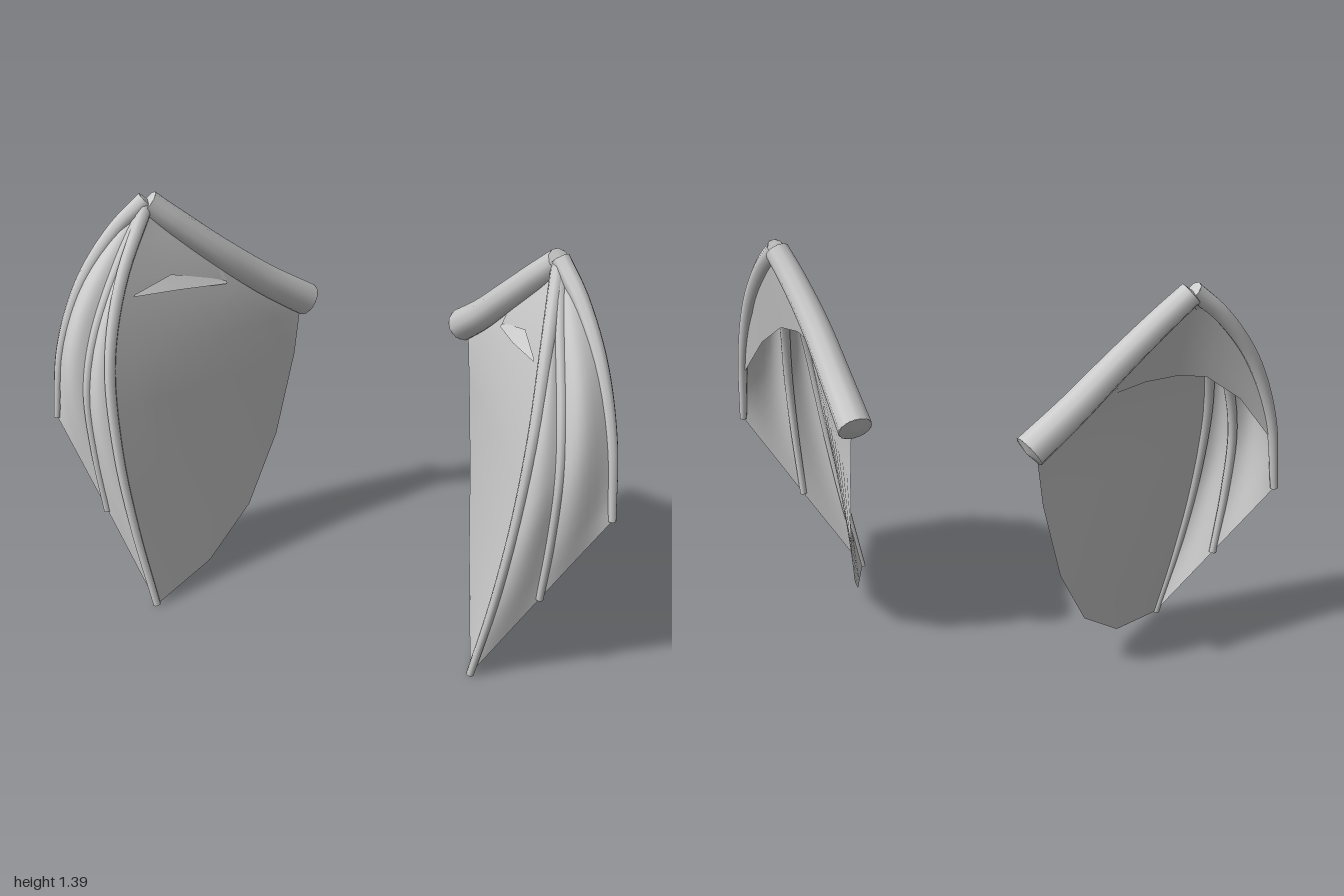
import * as THREE from 'three';

const hide = new THREE.MeshStandardMaterial({ color: 0xcccccc, side: THREE.DoubleSide });
hide.name = 'pale grey';

// Smooth path through points, mirrored by side (+1 left, -1 right)
function path(points, side) {
  return new THREE.CatmullRomCurve3(points.map(([x, y, z]) => new THREE.Vector3(x * side, y, z)));
}

// Tube whose radius runs from r0 to r1
function taperedTube(curve, r0, r1, sides) {
  const n = 30;
  const geo = new THREE.TubeGeometry(curve, n, 1, sides);
  const pos = geo.attributes.position;
  const p = new THREE.Vector3();
  for (let i = 0; i <= n; i++) {
    const c = curve.getPointAt(i / n);
    const r = r0 + (r1 - r0) * (i / n);
    for (let j = 0; j <= sides; j++) {
      const k = i * (sides + 1) + j;
      p.fromBufferAttribute(pos, k).sub(c).multiplyScalar(r).add(c);
      pos.setXYZ(k, p.x, p.y, p.z);
    }
  }
  return geo;
}

// Sheet stretched between matching rows of points; bulge(u, v) gives an offset
function sheet(left, right, cols, bulge) {
  const verts = [], index = [], rows = left.length;
  for (let i = 0; i < rows; i++) {
    for (let j = 0; j <= cols; j++) {
      const p = left[i].clone().lerp(right[i], j / cols);
      if (bulge) p.add(bulge(i / (rows - 1), j / cols));
      verts.push(p.x, p.y, p.z);
      if (i < rows - 1 && j < cols) {
        const a = i * (cols + 1) + j, b = a + cols + 1;
        index.push(a, b, a + 1, b, b + 1, a + 1);
      }
    }
  }
  const geo = new THREE.BufferGeometry();
  geo.setAttribute('position', new THREE.Float32BufferAttribute(verts, 3));
  geo.setIndex(index);
  geo.computeVertexNormals();
  return geo;
}

function createWing(side) {
  const wing = new THREE.Group();
  wing.name = side > 0 ? 'leftWing' : 'rightWing';
  const add = (name, geo) => {
    const mesh = new THREE.Mesh(geo, hide);
    mesh.name = name;
    wing.add(mesh);
    return mesh;
  };
  const vec = ([x, y, z]) => new THREE.Vector3(x * side, y, z);

  // Bone: tapered tube with a shallow domed cap at each end
  const addBone = (name, curve, r0, r1, sides) => {
    add(name, taperedTube(curve, r0, r1, sides));
    [[0, r0, -1], [1, r1, 1]].forEach(([t, r, dir]) => {
      const cap = add(name + 'Cap', new THREE.ConeGeometry(r, r * 0.2, sides, 1, true));
      const out = curve.getTangentAt(t).multiplyScalar(dir);
      cap.quaternion.setFromUnitVectors(new THREE.Vector3(0, 1, 0), out);
      cap.position.copy(curve.getPointAt(t)).addScaledVector(out, r * 0.1);
    });
  };

  // Arm from the shoulder to the wrist
  const arm = path([[0.293, 0.922, -0.348], [0.4, 1.03, -0.23], [0.52, 1.165, -0.11],
    [0.635, 1.29, -0.02], [0.71, 1.367, 0.028]], side);
  addBone('arm', arm, 0.058, 0.042, 10);

  // Three finger bones fanning down from the wrist
  const fingers = [
    [[0.715, 1.375, 0.035], [0.80, 1.28, 0.10], [0.895, 1.11, 0.18], [0.96, 0.88, 0.24], [0.985, 0.62, 0.265]],
    [[0.715, 1.35, 0.045], [0.755, 1.2, 0.16], [0.805, 0.97, 0.275], [0.822, 0.78, 0.322],
      [0.808, 0.55, 0.328], [0.78, 0.315, 0.32]],
    [[0.71, 1.36, 0.04], [0.73, 1.15, 0.21], [0.732, 0.9, 0.318], [0.7, 0.6, 0.363],
      [0.645, 0.3, 0.377], [0.575, 0.008, 0.38]],
  ].map((points) => path(points, side));
  const radii = [0.032, 0.022, 0.024];
  fingers.forEach((f, i) => addBone('finger' + (i + 1), f, radii[i], 0.013, 8));

  // Skin between neighbouring fingers, billowing midway and taut at the tips
  const billow = [0.05, 0.025];
  for (let i = 0; i < 2; i++) {
    add('fingerSkin' + (i + 1), sheet(fingers[i].getSpacedPoints(16), fingers[i + 1].getSpacedPoints(16), 8,
      (u, v) => new THREE.Vector3(0.2 * side, 0, 1).multiplyScalar(
        billow[i] * Math.sin(Math.PI * v) * Math.sin(Math.PI * u))));
  }

  // Main skin from the arm and trailing edge to the last finger: edge point, finger parameter
  const edge = [
    [[0.71, 1.36, 0.03], 0], [[0.61, 1.25, -0.055], 0.1], [[0.5, 1.13, -0.14], 0.2],
    [[0.41, 1.02, -0.235], 0.3], [[0.315, 0.88, -0.33], 0.42], [[0.33, 0.72, -0.31], 0.52],
    [[0.37, 0.43, -0.225], 0.7], [[0.42, 0.2, -0.08], 0.85], [[0.49, 0.06, 0.12], 0.95],
    [[0.575, 0.008, 0.38], 1],
  ];
  add('mainSkin', sheet(edge.map((e) => vec(e[0])), edge.map((e) => fingers[2].getPoint(e[1])), 8));

  // Web across the wrist corner, from the outer finger to the arm, with an arched free edge
  const webTop = [[0.965, 0.84, 0.242], [0.895, 1.11, 0.18], [0.80, 1.28, 0.10],
    [0.715, 1.36, 0.035], [0.635, 1.27, -0.02], [0.53, 1.15, -0.1]].map(vec);
  const webEdge = [[0.955, 0.82, 0.24], [0.86, 0.96, 0.195], [0.755, 1.05, 0.13],
    [0.67, 1.062, 0.08], [0.585, 1.066, -0.015], [0.49, 1.045, -0.115]].map(vec);
  add('wristWeb', sheet(webTop, webEdge, 4));

  // Loose flap of the web showing on the inner face of the main skin
  const flapTop = [[0.69, 1.1, 0.2], [0.62, 1.13, 0.06], [0.5, 1.06, -0.115]].map(vec);
  const flapEdge = [[0.69, 1.095, 0.205], [0.585, 1.085, 0.075], [0.49, 1.05, -0.105]].map(vec);
  add('webFlap', sheet(flapTop, flapEdge, 1));
  return wing;
}

export function createModel() {
  const model = new THREE.Group();
  model.name = 'foldedWings';
  model.add(createWing(1), createWing(-1));
  return model;
}
